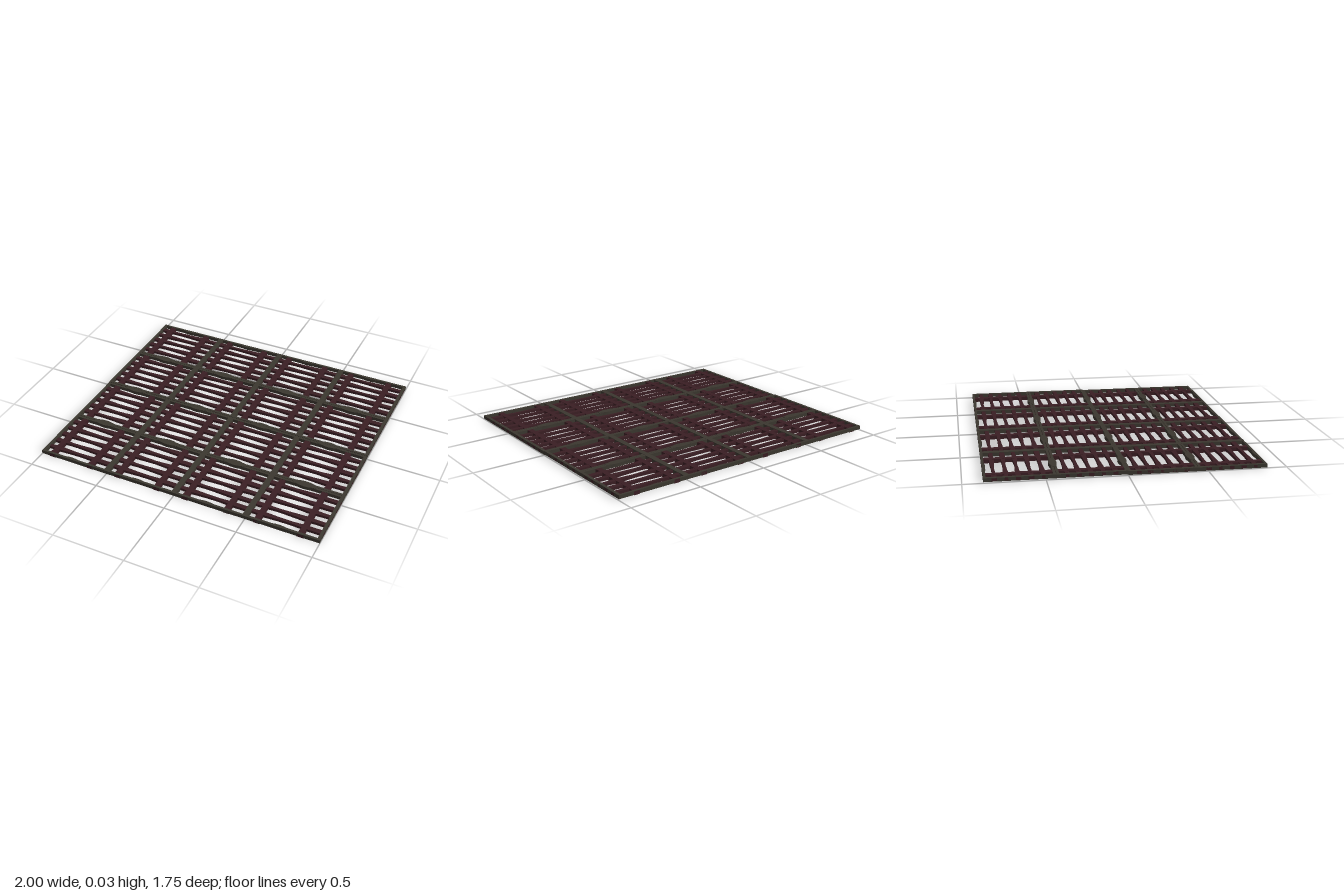
import * as THREE from 'three';

const TILE_X = 0.5, TILE_Z = 0.4375, HALF_Z = 0.875;

// Plank lying along x, its width following the control values from end to end
function plank(length, widths, y0, y1) {
  const last = widths.length - 1;
  const g = new THREE.BoxGeometry(length, y1 - y0, 1, last, 1, 1);
  const p = g.attributes.position;
  for (let i = 0; i < p.count; i++) {
    const k = THREE.MathUtils.clamp(Math.round((p.getX(i) / length + 0.5) * last), 0, last);
    p.setZ(i, p.getZ(i) * widths[k]);
  }
  g.translate(0, (y0 + y1) / 2, 0);
  g.computeVertexNormals();
  return g;
}

export function createModel() {
  const model = new THREE.Group();
  const frameMat = new THREE.MeshStandardMaterial({ color: 0x3b372f });
  frameMat.name = 'dark olive metal';
  const slatMat = new THREE.MeshStandardMaterial({ color: 0x3a1e23 });
  slatMat.name = 'dark maroon rust';

  const add = (name, geo, mat, x, y, z, turn = 0) => {
    const m = new THREE.Mesh(geo, mat);
    m.name = name;
    m.position.set(x, y, z);
    m.rotation.y = turn;
    model.add(m);
  };

  // Worn slats, each with its narrow stretch in a different place
  const slatShapes = [
    [0.034, 0.032, 0.024, 0.018, 0.019, 0.024, 0.029, 0.034, 0.028, 0.026, 0.030],
    [0.022, 0.028, 0.033, 0.028, 0.022, 0.020, 0.021, 0.027, 0.034, 0.032, 0.034],
    [0.030, 0.034, 0.029, 0.025, 0.020, 0.017, 0.023, 0.031, 0.030, 0.024, 0.022],
  ].map(w => plank(TILE_X, w, 0.006, 0.024));
  const slatZ = [0.066, 0.138, 0.211, 0.287, 0.361];

  // Cross bars and frame bars, one tile long
  const crossBar = plank(TILE_Z, [0.044, 0.036, 0.034, 0.037, 0.036, 0.034, 0.038, 0.036, 0.042], 0, 0.025);
  const ribBar = plank(TILE_Z, [0.036, 0.038, 0.035, 0.038, 0.036], 0.003, 0.027);
  const sideBar = plank(TILE_Z, [0.02, 0.02], 0.003, 0.027);
  const railBar = plank(TILE_X, [0.016, 0.016], 0.003, 0.027);

  // Flat lens-shaped swellings on the rails
  const swelling = plank(0.16, [0.026, 0.036, 0.048, 0.052, 0.048, 0.034, 0.026], 0.004, 0.028);
  const edgeSwelling = plank(0.1, [0.001, 0.010, 0.012, 0.008, 0.001], 0.004, 0.026);

  for (let row = 0; row < 4; row++) {
    const z0 = -HALF_Z + row * TILE_Z, zc = z0 + TILE_Z / 2;
    const y = row < 2 ? 0.004 : 0;
    for (let col = 0; col < 4; col++) {
      const x0 = -1 + col * TILE_X, xc = x0 + TILE_X / 2;
      slatZ.forEach((dz, i) =>
        add('slat', slatShapes[(i + row) % 3], slatMat, xc, y, z0 + dz));
      for (const dx of [0.081, 0.373])
        add('crossBar', crossBar, slatMat, x0 + dx, y, zc, Math.PI / 2);
      // Rails on both long edges of the tile, leaving a hairline joint inside
      for (const s of [-1, 1]) {
        const outer = (row === 0 && s < 0) || (row === 3 && s > 0);
        add('rail', railBar, frameMat, xc, y, zc + s * (TILE_Z / 2 - (outer ? 0.008 : 0.0095)));
      }
    }
    for (let i = 1; i < 4; i++)
      add('rib', ribBar, frameMat, -1 + i * TILE_X, y + 0.0005, zc, Math.PI / 2);
    for (const s of [-1, 1])
      add('sideFrame', sideBar, frameMat, s * 0.99, y, zc, Math.PI / 2);
  }

  // Rail swellings, and the closed joint along the middle
  for (let col = 0; col < 4; col++) {
    const x = -0.77 + col * TILE_X;
    for (const z of [-TILE_Z, 0, TILE_Z])
      add('railSwelling', swelling, frameMat, x, z < 0 ? 0.005 : 0.002, z);
    for (const s of [-1, 1])
      add('edgeSwelling', edgeSwelling, frameMat, x, s < 0 ? 0.004 : 0, s * 0.858);
  }
  add('middleJoint', new THREE.BoxGeometry(2, 0.02, 0.006), frameMat, 0, 0.018, 0);
  return model;
}
